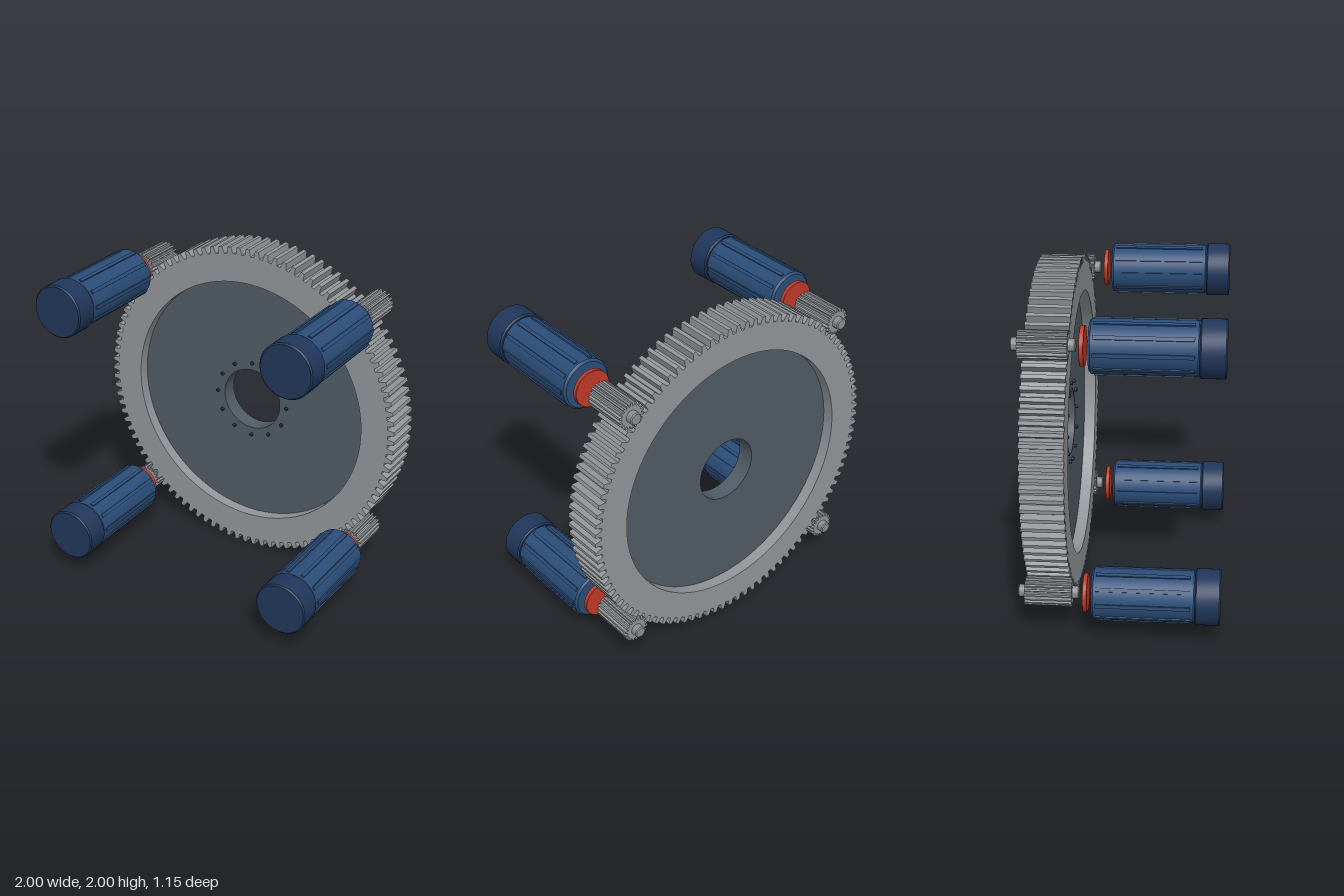
import * as THREE from 'three';
import { toCreasedNormals } from 'three/addons/utils/BufferGeometryUtils.js';

const mat = (name, color) => new THREE.MeshStandardMaterial({ name, color });

export function createModel() {
  const steel = mat('steel', 0x929699);
  const shaftSteel = mat('shaft steel', 0x8c8e8f);
  const webGrey = mat('slate grey', 0x505c64);
  const blue = mat('motor blue', 0x2b4d78);
  const navy = mat('navy', 0x20365a);
  const red = mat('red', 0xc23b28);

  const model = new THREE.Group();
  model.name = 'gearDrive';

  const add = (parent, name, geometry, material, x = 0, y = 0, z = 0) => {
    const mesh = new THREE.Mesh(geometry, material);
    mesh.name = name;
    mesh.position.set(x, y, z);
    parent.add(mesh);
    return mesh;
  };

  // Toothed outline with trapezoidal teeth
  const toothShape = (teeth, root, tip) => {
    const pts = [];
    const step = (Math.PI * 2) / teeth;
    for (let i = 0; i < teeth; i++) {
      for (const [f, r] of [[-0.33, root], [-0.18, tip], [0.18, tip], [0.33, root]]) {
        const a = Math.PI / 2 + (i + f) * step;
        pts.push(new THREE.Vector2(Math.cos(a) * r, Math.sin(a) * r));
      }
    }
    return new THREE.Shape(pts);
  };
  const hole = (r) => new THREE.Path().absarc(0, 0, r, 0, Math.PI * 2, true);
  const extrude = (shape, z0, z1) => {
    const g = new THREE.ExtrudeGeometry(shape, { depth: z1 - z0, bevelEnabled: false, curveSegments: 64 });
    g.translate(0, 0, z0);
    return toCreasedNormals(g, 0.2);
  };
  // Revolved profile of [radius, z] points along the z axis
  const turned = (profile) => {
    const g = new THREE.LatheGeometry(profile.map(([r, z]) => new THREE.Vector2(r, z)), 48);
    g.rotateX(Math.PI / 2);
    return toCreasedNormals(g, 0.4);
  };
  const rod = (r, z0, z1, c = 0.006) =>
    turned([[0, z0], [r - c, z0], [r, z0 + c], [r, z1 - c], [r - c, z1], [0, z1]]);

  // Large gear: toothed rim and recessed web with a bore
  const gear = new THREE.Group();
  gear.name = 'mainGear';
  gear.position.y = 1;
  model.add(gear);

  const rim = toothShape(100, 0.958, 1);
  rim.holes.push(hole(0.786));
  add(gear, 'gearRim', extrude(rim, -0.525, -0.28), steel);

  const web = new THREE.Shape().absarc(0, 0, 0.79, 0, Math.PI * 2, false);
  web.holes.push(hole(0.197));
  add(gear, 'gearWeb', extrude(web, -0.455, -0.35), webGrey);

  // Ring of bolts around the bore
  const boltGeo = rod(0.011, -0.36, -0.335, 0.002);
  for (let i = 0; i < 12; i++) {
    const a = (i * Math.PI) / 6;
    add(gear, 'bolt', boltGeo, navy, Math.cos(a) * 0.245, Math.sin(a) * 0.245);
  }

  // Four motors with pinions
  const pinionGeo = extrude(toothShape(18, 0.064, 0.081), -0.54, -0.27);
  const shaftGeo = rod(0.036, -0.58, -0.23);
  const flangeGeo = rod(0.11, -0.206, -0.18, 0.002);
  const bodyGeo = rod(0.149, -0.155, 0.435, 0.012);
  const capGeo = rod(0.16, 0.43, 0.575, 0.008);
  const ribGeo = new THREE.BoxGeometry(0.02, 0.022, 0.535);

  for (const sx of [-1, 1]) {
    for (const sy of [-1, 1]) {
      const motor = new THREE.Group();
      motor.name = (sy > 0 ? 'upper' : 'lower') + (sx > 0 ? 'Left' : 'Right') + 'Motor';
      motor.position.set(sx * 0.746, 1 + sy * 0.746, 0);
      model.add(motor);
      add(motor, 'pinion', pinionGeo, steel);
      add(motor, 'shaft', shaftGeo, shaftSteel);
      add(motor, 'flange', flangeGeo, red);
      add(motor, 'motorBody', bodyGeo, blue);
      add(motor, 'motorCap', capGeo, navy);
      for (let i = 0; i < 10; i++) {
        const a = (i * Math.PI) / 5;
        add(motor, 'coolingRib', ribGeo, blue, Math.cos(a) * 0.146, Math.sin(a) * 0.146, 0.1375).rotation.z = a;
      }
    }
  }
  return model;
}
